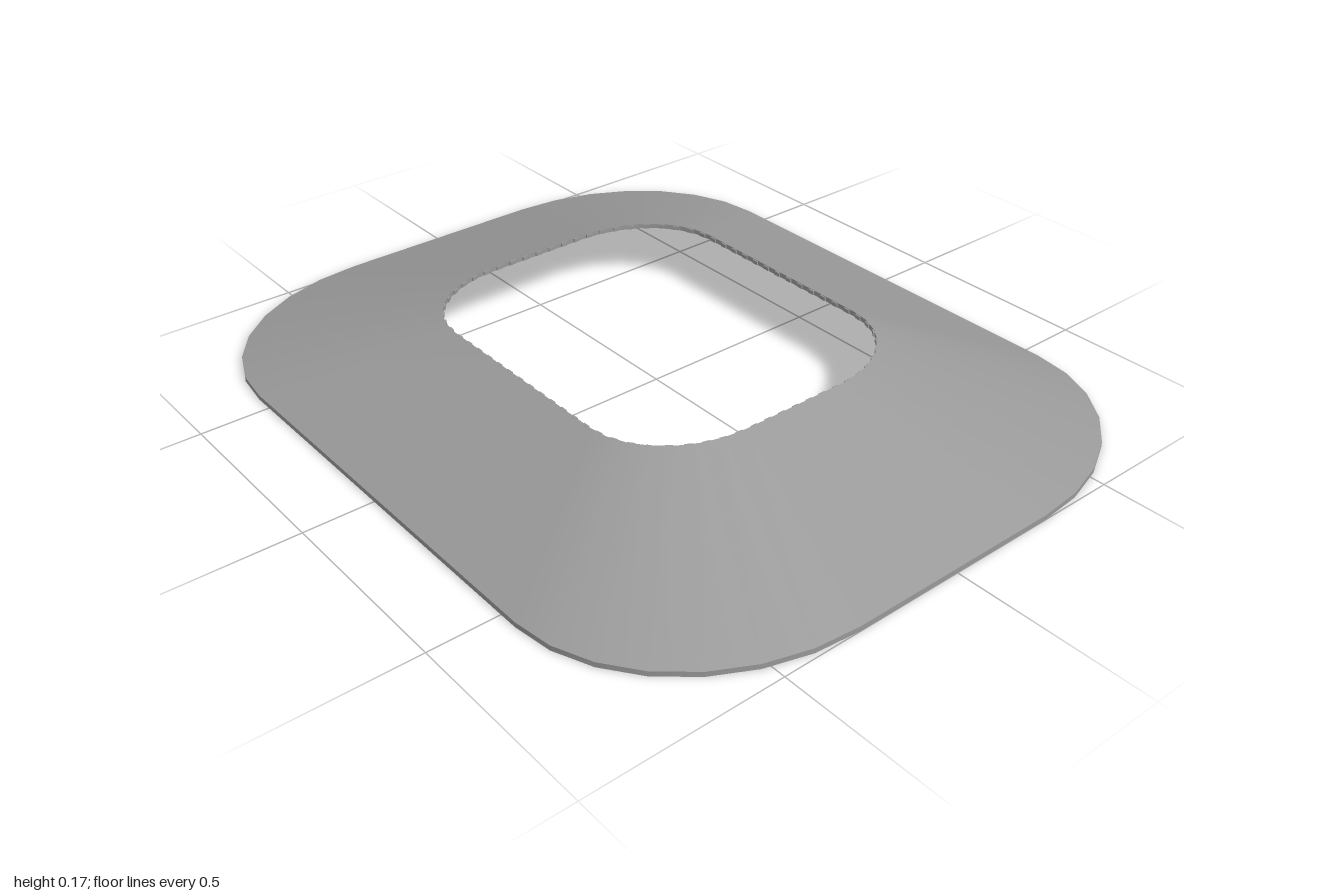
import * as THREE from 'three';

const SEGMENTS = 7; // per rounded corner
const HEIGHT = 0.168;
const THICKNESS = 0.013;
const TEETH = 76;

// Closed rounded-rectangle loop at height y
function ring(halfX, halfZ, rx, rz, y) {
  const points = [];
  for (let corner = 0; corner < 4; corner++) {
    const sx = corner === 0 || corner === 3 ? 1 : -1;
    const sz = corner < 2 ? 1 : -1;
    for (let i = 0; i <= SEGMENTS; i++) {
      const a = (corner + i / SEGMENTS) * Math.PI / 2;
      points.push(new THREE.Vector3(
        sx * (halfX - rx) + rx * Math.cos(a),
        y,
        sz * (halfZ - rz) + rz * Math.sin(a),
      ));
    }
  }
  return points;
}

const outerRing = (y) => ring(0.82, 1, 0.53, 0.45, y);
const innerRing = (y) => ring(0.414, 0.496, 0.268, 0.223, y);

// Smooth band joining two loops; separate bands keep the edges sharp
function band(name, from, to, material) {
  const n = from.length;
  const index = [];
  for (let i = 0; i < n; i++) {
    const j = (i + 1) % n;
    index.push(i, n + i, j, j, n + i, n + j);
  }
  const geometry = new THREE.BufferGeometry().setFromPoints([...from, ...to]);
  geometry.setIndex(index);
  geometry.computeVertexNormals();
  const mesh = new THREE.Mesh(geometry, material);
  mesh.name = name;
  return mesh;
}

// Fine serration spaced evenly along the opening
function serration(loop, material) {
  const path = new THREE.CurvePath();
  loop.forEach((p, i) => path.add(new THREE.LineCurve3(p, loop[(i + 1) % loop.length])));
  const geometry = new THREE.BoxGeometry(0.018, THICKNESS * 0.8, 0.008);
  const group = new THREE.Group();
  group.name = 'openingSerration';
  for (let i = 0; i < TEETH; i++) {
    const t = (i + 0.5) / TEETH;
    const tangent = path.getTangent(t);
    const tooth = new THREE.Mesh(geometry, material);
    tooth.name = 'tooth';
    tooth.position.copy(path.getPoint(t));
    tooth.rotation.y = Math.atan2(-tangent.z, tangent.x);
    group.add(tooth);
  }
  return group;
}

export function createModel() {
  const group = new THREE.Group();
  group.name = 'slopedFrame';
  const material = new THREE.MeshStandardMaterial({ color: 0x999999 });

  const outerBottom = outerRing(0);
  const outerTop = outerRing(THICKNESS);
  const innerTop = innerRing(HEIGHT);
  const innerBottom = innerRing(HEIGHT - THICKNESS);

  // Thin sloping shell: rim, upper slope, opening edge and underside
  group.add(
    band('outerRim', outerBottom, outerTop, material),
    band('upperSlope', outerTop, innerTop, material),
    band('openingEdge', innerTop, innerBottom, material),
    band('underside', innerBottom, outerBottom, material),
    serration(innerRing(HEIGHT - THICKNESS / 2), material),
  );
  return group;
}
